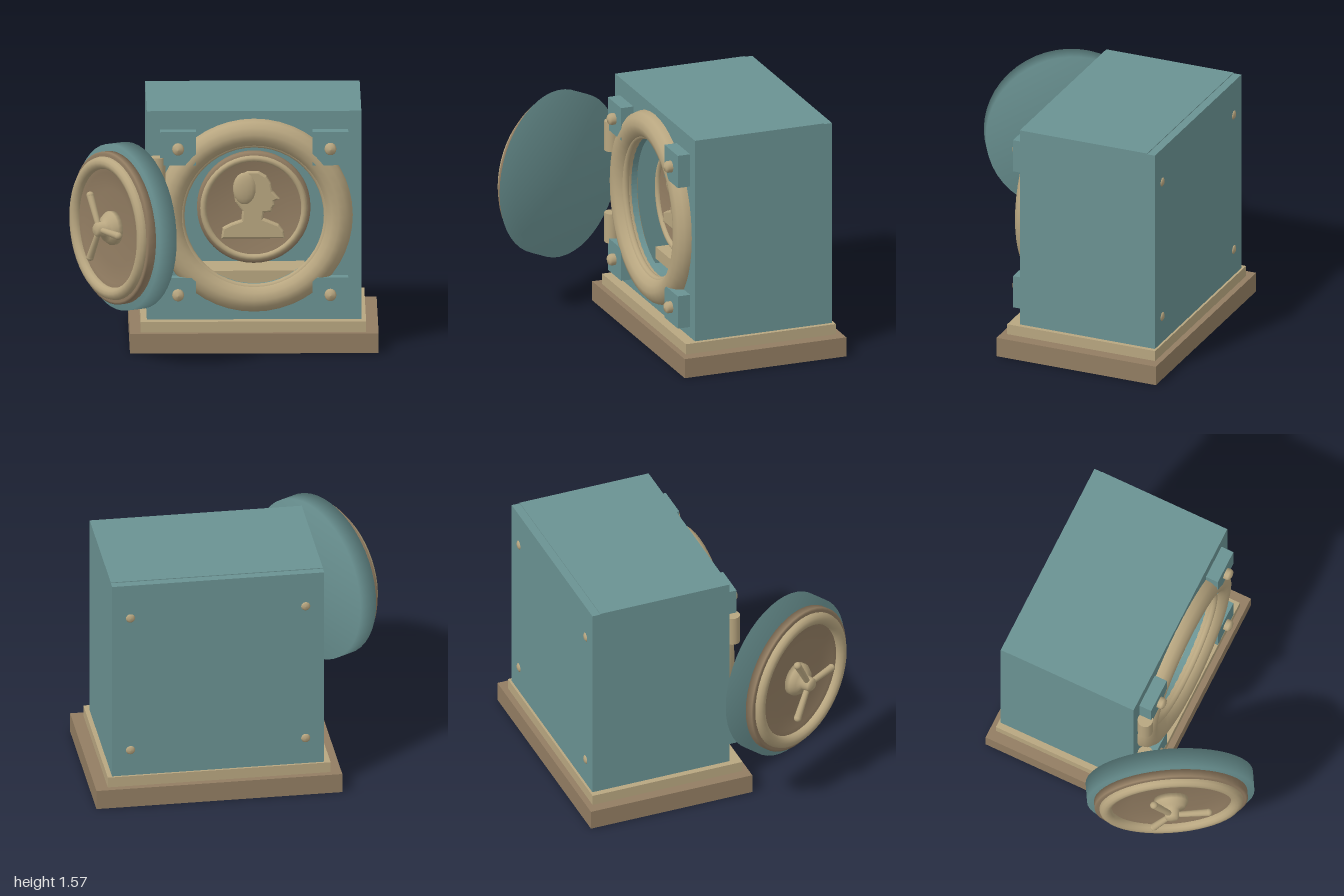
import * as THREE from 'three';

export function createModel() {
  const root = new THREE.Group();
  root.name = 'openSafe';
  const mat = (name, color) => {
    const m = new THREE.MeshStandardMaterial({ color });
    m.name = name;
    return m;
  };
  const teal = mat('teal', 0x6a9292);
  const tan = mat('tan', 0xb8a680);
  const brown = mat('brown', 0x927d62);

  const add = (parent, name, geo, material, x = 0, y = 0, z = 0) => {
    const m = new THREE.Mesh(geo, material);
    m.name = name;
    m.position.set(x, y, z);
    parent.add(m);
    return m;
  };
  // Box given by its limits on each axis
  const slab = (name, material, x0, x1, y0, y1, z0, z1) =>
    add(root, name, new THREE.BoxGeometry(x1 - x0, y1 - y0, z1 - z0), material,
      (x0 + x1) / 2, (y0 + y1) / 2, (z0 + z1) / 2);
  // Turned part with its axis along z, profile as [radius, z]
  const turned = (profile, segments = 48) =>
    new THREE.LatheGeometry(profile.map(p => new THREE.Vector2(...p)), segments).rotateX(Math.PI / 2);

  const CX = 0.2, CY = 0.885;

  // Stepped base
  slab('basePlinth', brown, -0.6, 1, 0, 0.13, -0.92, 0.2);
  slab('baseStep', tan, -0.53, 0.92, 0.13, 0.2, -0.88, 0.16);

  // Hollow cabinet
  slab('leftWall', teal, 0.83, 0.89, 0.2, 1.57, -0.81, 0.025);
  slab('rightWall', teal, -0.49, -0.43, 0.2, 1.57, -0.81, 0.025);
  slab('roof', teal, -0.43, 0.83, 1.51, 1.57, -0.81, 0.025);
  slab('floor', teal, -0.43, 0.83, 0.2, 0.26, -0.81, 0.025);
  slab('backPlate', teal, -0.49, 0.89, 0.2, 1.565, -0.865, -0.81);

  // Front wall with round opening
  const wall = new THREE.Shape([[-0.49, 0.2], [0.89, 0.2], [0.89, 1.57], [-0.49, 1.57]]
    .map(p => new THREE.Vector2(...p)));
  const hole = new THREE.Path();
  hole.absarc(CX, CY, 0.46, 0, Math.PI * 2, true);
  wall.holes.push(hole);
  add(root, 'frontWall', new THREE.ExtrudeGeometry(wall,
    { depth: 0.06, bevelEnabled: false, curveSegments: 48 }), teal, 0, 0, 0.025);

  // Door surround
  add(root, 'doorRing', new THREE.TorusGeometry(0.545, 0.09, 12, 48), tan, CX, CY, 0.085);
  add(root, 'openingLip', new THREE.TorusGeometry(0.473, 0.025, 10, 48), tan, CX, CY, 0.1);

  // Corner brackets with domed bolts, and bolts on the back
  const bolt = turned([[0, -0.05], [0.038, -0.05], [0.038, 0.028], [0.03, 0.042], [0, 0.05]], 16);
  const backBolt = turned([[0, -0.01], [0.018, -0.008], [0.03, 0], [0.03, 0.02], [0, 0.02]], 16);
  for (const sx of [-1, 1]) for (const sy of [-1, 1]) {
    const x = CX + sx * 0.49, y = 0.86 + sy * 0.48;
    slab('cornerBracket', teal, x - 0.115, x + 0.115,
      0.86 + sy * 0.48 - 0.11, 0.86 + sy * 0.48 + 0.11, 0.08, 0.17);
    add(root, 'bracketBolt', bolt, tan, x, y, 0.17);
    add(root, 'backBolt', backBolt, tan, CX + sx * 0.57, 0.855 + sy * 0.475, -0.865);
  }

  // Hinge knuckles
  for (const y of [0.555, 1.18])
    add(root, 'hinge', new THREE.CylinderGeometry(0.05, 0.05, 0.2, 16), tan, -0.42, y, 0.135);

  // Display stand inside
  slab('displayStand', tan, -0.13, 0.53, 0.41, 0.49, -0.35, -0.05);
  slab('standFoot', tan, -0.03, 0.43, 0.26, 0.41, -0.3, -0.1);

  // Round portrait medallion
  const medal = new THREE.Group();
  medal.name = 'medallion';
  medal.position.set(CX, 0.9, -0.1);
  root.add(medal);
  add(medal, 'medallionDish', turned([[0, -0.05], [0.35, -0.05], [0.365, -0.03], [0.365, 0.02],
    [0.34, 0.035], [0.3, 0.03], [0.22, 0.01], [0.1, 0], [0, 0]]), brown);
  add(medal, 'medallionRim', new THREE.TorusGeometry(0.325, 0.02, 10, 48), tan, 0, 0, 0.035);
  const bust = new THREE.Shape([
    [-0.21, -0.2], [-0.2, -0.13], [-0.15, -0.105], [-0.08, -0.08], [-0.075, -0.02], [-0.12, 0.04],
    [-0.135, 0.12], [-0.11, 0.2], [-0.04, 0.24], [0.03, 0.24], [0.08, 0.21], [0.11, 0.16],
    [0.12, 0.11], [0.165, 0.06], [0.13, 0.045], [0.135, 0.02], [0.12, 0], [0.115, -0.025],
    [0.065, -0.03], [0.06, -0.07], [0.16, -0.11], [0.19, -0.15], [0.2, -0.2],
  ].map(p => new THREE.Vector2(...p)));
  add(medal, 'bust', new THREE.ExtrudeGeometry(bust, { depth: 0.03, bevelEnabled: true,
    bevelThickness: 0.015, bevelSize: 0.012, bevelOffset: -0.012, bevelSegments: 2 }), tan, 0, 0, 0.005);
  const hair = add(medal, 'hair', new THREE.SphereGeometry(1, 14, 10), tan, -0.06, 0.13, 0.045);
  hair.scale.set(0.075, 0.105, 0.03);

  // Round door, swung open; its outer face looks along local +z
  const door = new THREE.Group();
  door.name = 'door';
  door.position.set(-0.6325, CY, 0.415);
  door.rotation.y = -Math.PI / 3;
  root.add(door);
  add(door, 'doorSlab', turned([[0, -0.064], [0.54, -0.064], [0.54, 0.064], [0, 0.064]]), teal);
  add(door, 'doorFace', turned([[0, 0.06], [0.495, 0.06], [0.495, 0.112], [0.48, 0.118], [0.4, 0.118],
    [0.36, 0.105], [0.25, 0.085], [0, 0.08]]), brown);
  add(door, 'doorRim', new THREE.TorusGeometry(0.425, 0.04, 12, 48), tan, 0, 0, 0.12);

  // Three-armed handle
  add(door, 'handleHub', turned([[0, 0.08], [0.11, 0.08], [0.11, 0.115], [0.085, 0.15],
    [0.05, 0.165], [0.045, 0.215], [0.03, 0.228], [0, 0.23]], 20), tan);
  for (let i = 0; i < 3; i++) {
    const arm = new THREE.Group();
    arm.name = 'handleArm';
    arm.position.z = 0.193;
    arm.rotation.z = i * Math.PI * 2 / 3;
    door.add(arm);
    add(arm, 'armRod', new THREE.CylinderGeometry(0.024, 0.018, 0.235, 12).rotateZ(-Math.PI / 2),
      tan, 0.12, 0, 0);
    add(arm, 'armTip', new THREE.SphereGeometry(0.025, 12, 8), tan, 0.235, 0, 0);
  }
  return root;
}
